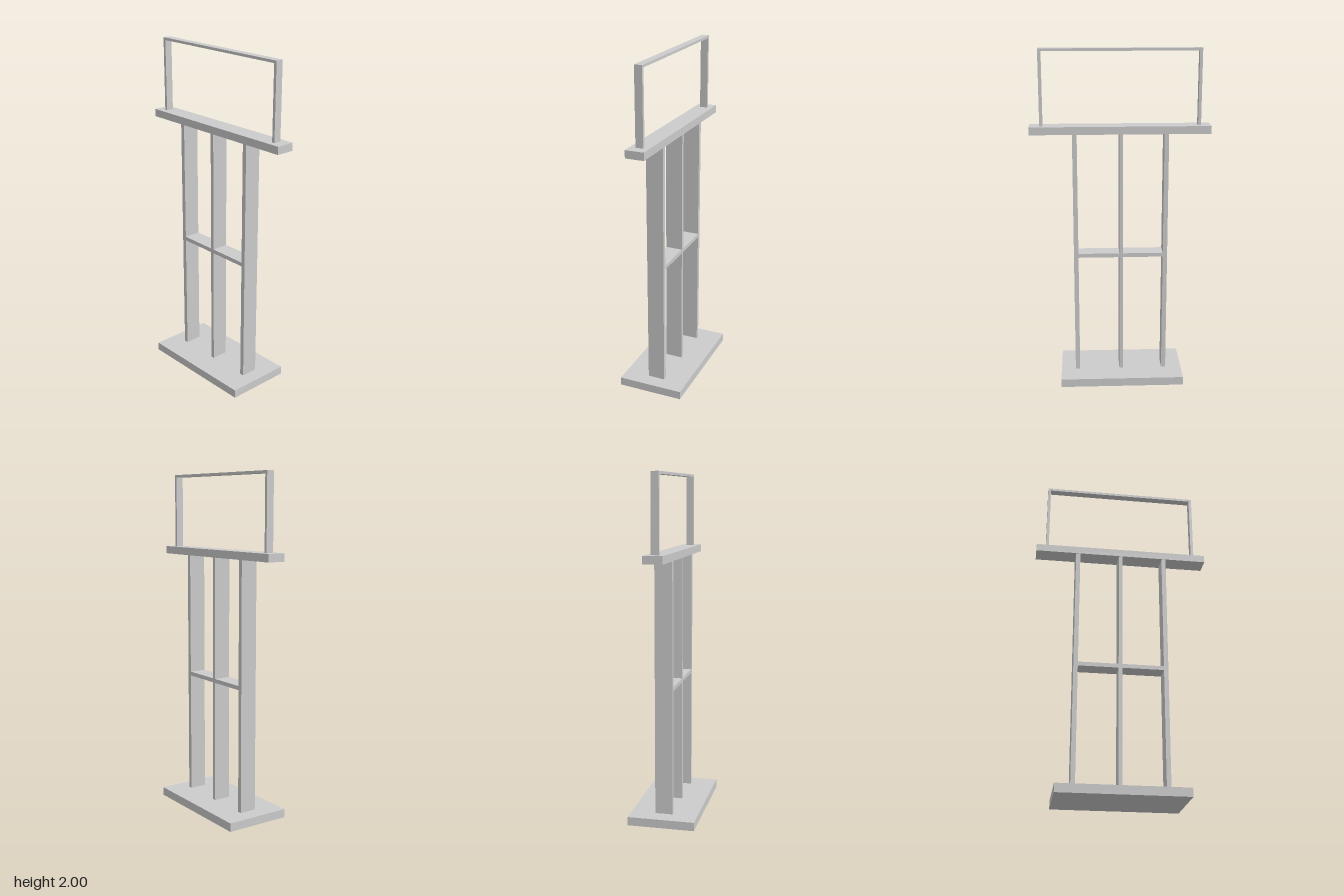
import * as THREE from 'three';

export function createModel() {
  const model = new THREE.Group();
  model.name = 'displayStand';
  const material = new THREE.MeshStandardMaterial({ color: 0xcccccc, flatShading: true });

  // Box given by its x, y and z ranges
  function box(name, [x0, x1], [y0, y1], [z0, z1]) {
    const mesh = new THREE.Mesh(new THREE.BoxGeometry(x1 - x0, y1 - y0, z1 - z0), material);
    mesh.position.set((x0 + x1) / 2, (y0 + y1) / 2, (z0 + z1) / 2);
    mesh.name = name;
    model.add(mesh);
  }

  const baseTop = 0.05, beamBottom = 1.519, beamTop = 1.564;
  const postDepth = [-0.054, 0.048];

  // Foot plate and upper beam
  box('base', [-0.374, 0.362], [0, baseTop], [-0.195, 0.195]);
  box('topBeam', [-0.521, 0.521], [beamBottom, beamTop], [-0.058, 0.052]);

  // Three flat posts
  const posts = [[-0.279, -0.253], [-0.016, 0.006], [0.25, 0.276]];
  posts.forEach((x, i) => box(['rightPost', 'middlePost', 'leftPost'][i], x, [baseTop, beamBottom], postDepth));

  // Shelves between neighbouring posts
  for (let i = 0; i < 2; i++) {
    box(['rightShelf', 'leftShelf'][i], [posts[i][1], posts[i + 1][0]], [0.778, 0.802], postDepth);
  }

  // Open sign frame on the beam
  const frameDepth = [-0.026, 0.019], railBottom = 1.985;
  box('rightFrameUpright', [-0.464, -0.447], [beamTop, railBottom], frameDepth);
  box('leftFrameUpright', [0.444, 0.461], [beamTop, railBottom], frameDepth);
  box('frameRail', [-0.464, 0.461], [railBottom, 2], frameDepth);

  return model;
}
